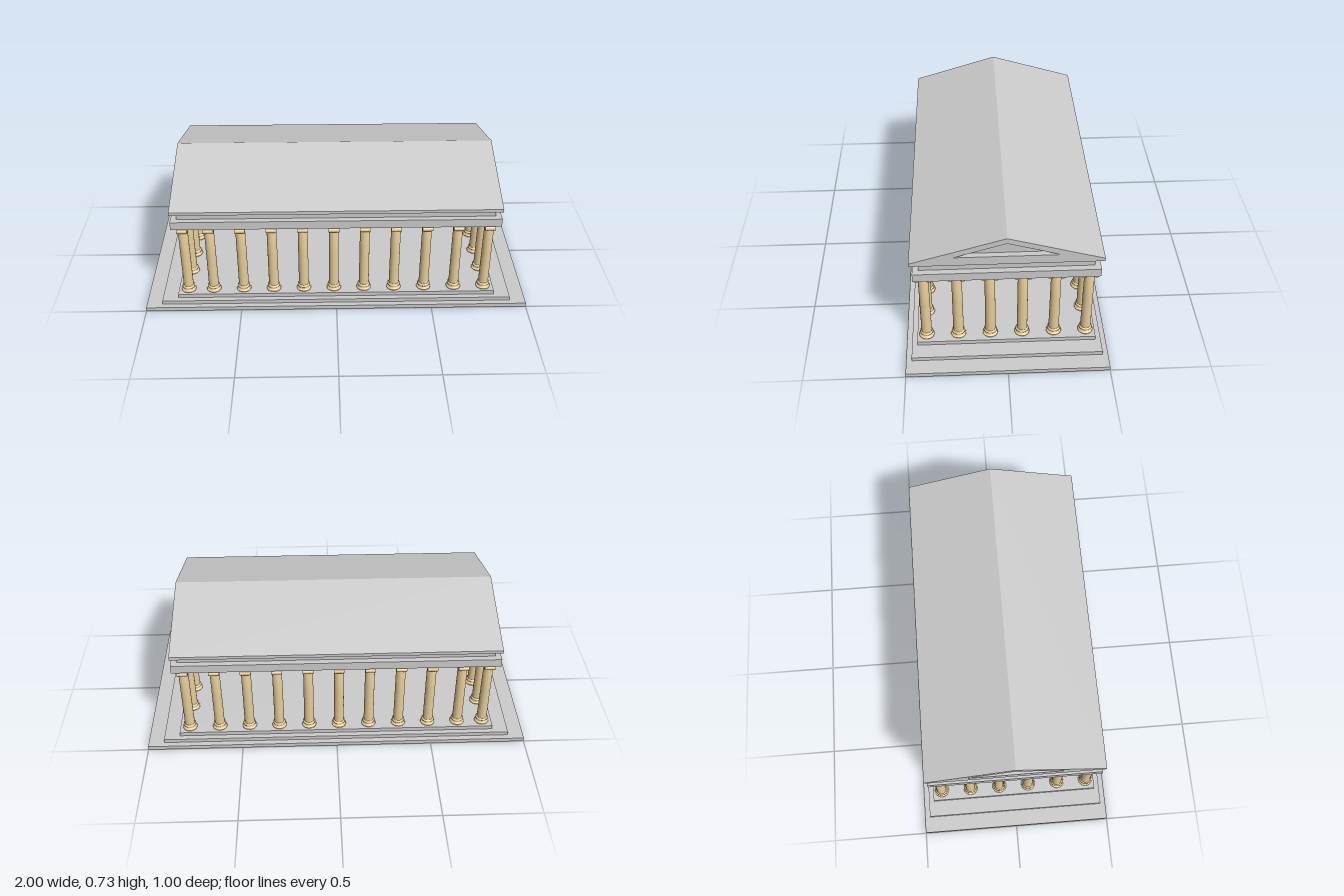
import * as THREE from 'three';
import { mergeGeometries } from 'three/addons/utils/BufferGeometryUtils.js';

const stone = new THREE.MeshStandardMaterial({ color: 0xcccccc });
const sand = new THREE.MeshStandardMaterial({ color: 0xe6cc99 });

// Box centred on x and z, spanning y0..y1
function slab(name, halfX, halfZ, y0, y1) {
  const mesh = new THREE.Mesh(new THREE.BoxGeometry(halfX * 2, y1 - y0, halfZ * 2), stone);
  mesh.position.y = (y0 + y1) / 2;
  mesh.name = name;
  return mesh;
}

// Extrude a (z, y) outline along x, centred
function extrudeAlongX(name, shape, length) {
  const geometry = new THREE.ExtrudeGeometry(shape, { depth: length, bevelEnabled: false });
  geometry.translate(0, 0, -length / 2);
  geometry.rotateY(-Math.PI / 2);
  const mesh = new THREE.Mesh(geometry, stone);
  mesh.name = name;
  return mesh;
}

const outline = (points) => points.map(([x, y]) => new THREE.Vector2(x, y));

// Half-round moulding for a turned profile
function roundMoulding(radius, bulge, y0, y1) {
  const points = [];
  for (let i = 0; i <= 6; i++) {
    const a = -Math.PI / 2 + (Math.PI * i) / 6;
    points.push([radius + bulge * Math.cos(a), (y0 + y1) / 2 + ((y1 - y0) / 2) * Math.sin(a)]);
  }
  return points;
}

// Turned base and shaft
function shaftGeometry() {
  const profile = [
    [0, 0.065],
    ...roundMoulding(0.033, 0.005, 0.065, 0.074),
    [0.029, 0.077], [0.028, 0.081], [0.029, 0.084],
    ...roundMoulding(0.028, 0.005, 0.085, 0.097),
    [0.026, 0.099], [0.026, 0.1], [0.0255, 0.3], [0.025, 0.468], [0, 0.468],
  ];
  return new THREE.LatheGeometry(outline(profile), 24);
}

// Scrolls running along x, joined by a cushion, under a flared top plate
function capitalGeometry() {
  const parts = [];
  for (const side of [-1, 1]) {
    const scroll = new THREE.CylinderGeometry(0.0125, 0.0125, 0.054, 16);
    scroll.rotateZ(Math.PI / 2);
    scroll.translate(0, 0.4575, side * 0.0305);
    parts.push(scroll);
  }
  const cushion = new THREE.BoxGeometry(0.05, 0.012, 0.061);
  cushion.translate(0, 0.464, 0);
  const plate = new THREE.CylinderGeometry(0.036 * Math.SQRT2, 0.027 * Math.SQRT2, 0.008, 4).toNonIndexed();
  plate.rotateY(Math.PI / 4);
  plate.scale(0.82, 1, 1);
  plate.translate(0, 0.474, 0);
  plate.computeVertexNormals();
  parts.push(cushion);
  return mergeGeometries([...parts.map((g) => g.toNonIndexed()), plate]);
}

export function createModel() {
  const temple = new THREE.Group();
  temple.name = 'temple';

  // Stepped platform and beams over the columns
  temple.add(
    slab('lowerStep', 1, 0.5, 0, 0.022),
    slab('middleStep', 0.917, 0.472, 0.022, 0.043),
    slab('upperStep', 0.835, 0.445, 0.043, 0.065),
    slab('architrave', 0.835, 0.445, 0.478, 0.523),
    slab('frieze', 0.805, 0.416, 0.523, 0.573),
    slab('cornice', 0.833, 0.458, 0.573, 0.59),
  );

  // Gabled roof with a recessed triangle at each end
  const gable = new THREE.Shape(outline([[-0.458, 0.59], [0.458, 0.59], [0, 0.728]]));
  const triangle = [[-0.25, 0.621], [0.25, 0.621], [0, 0.698]];
  gable.holes.push(new THREE.Path(outline(triangle).reverse()));
  temple.add(
    extrudeAlongX('roof', gable, 1.666),
    extrudeAlongX('pedimentPanels', new THREE.Shape(outline(triangle)), 1.61),
  );

  // Columns: two long rows, then the end rows between and at the corners
  const shaft = shaftGeometry();
  const capital = capitalGeometry();
  const colonnade = new THREE.Group();
  colonnade.name = 'colonnade';
  const addColumn = (x, z) => {
    const column = new THREE.Group();
    column.name = 'column';
    const shaftMesh = new THREE.Mesh(shaft, sand);
    shaftMesh.name = 'shaft';
    const capitalMesh = new THREE.Mesh(capital, sand);
    capitalMesh.name = 'capital';
    column.add(shaftMesh, capitalMesh);
    column.position.set(x, 0, z);
    colonnade.add(column);
  };
  const endX = 0.782, cornerZ = 0.398, spacing = 0.159;
  for (let i = 0; i < 10; i++) {
    for (const z of [-cornerZ, cornerZ]) addColumn(endX - i * spacing, z);
  }
  for (let i = 0; i < 6; i++) {
    const z = cornerZ - i * spacing;
    addColumn(-endX, z);
    if (i > 0 && i < 5) addColumn(endX, z);
  }
  temple.add(colonnade);
  return temple;
}
